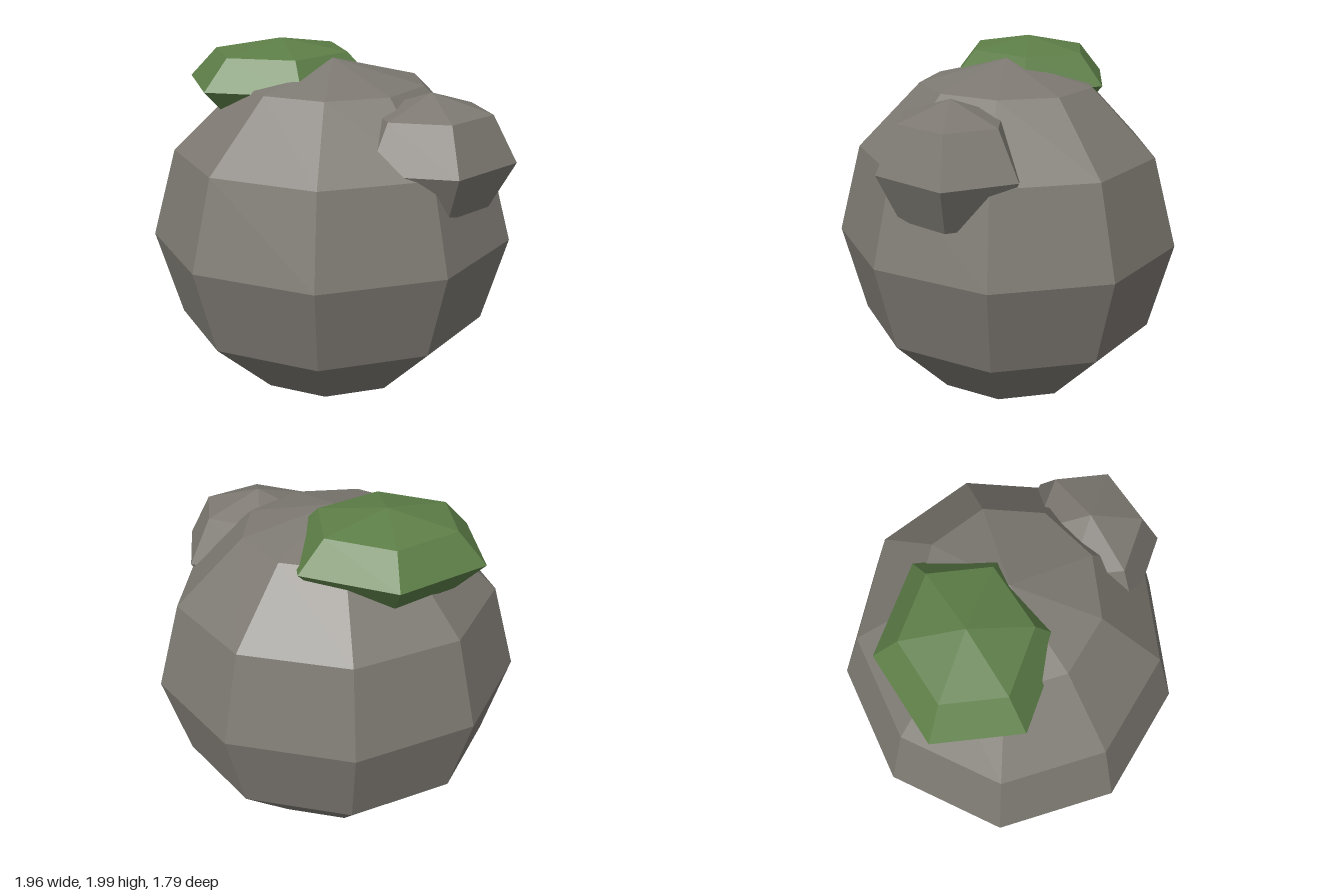
import * as THREE from 'three';

// Faceted ellipsoid with one column of vertices pointing straight back
function facetedBoulder(name, material, sides, rows, radii, center) {
  const sphere = new THREE.SphereGeometry(1, sides, rows);
  sphere.rotateY(-Math.PI / 2);
  sphere.scale(...radii);
  const geometry = sphere.toNonIndexed();
  geometry.computeVertexNormals(); // one normal per facet
  const mesh = new THREE.Mesh(geometry, material);
  mesh.name = name;
  mesh.position.set(...center);
  return mesh;
}

export function createModel() {
  const stone = new THREE.MeshStandardMaterial({ color: 0x7d7972 });
  stone.name = 'stone grey';
  const moss = new THREE.MeshStandardMaterial({ color: 0x5d7e47 });
  moss.name = 'moss green';

  const model = new THREE.Group();
  model.name = 'mossyBoulder';
  model.add(
    // Main rock
    facetedBoulder('boulder', stone, 9, 6, [0.997, 0.957, 0.923], [0, 0.963, 0.024]),
    // Small lump on the upper front
    facetedBoulder('rockLump', stone, 6, 4, [0.457, 0.345, 0.392], [0.385, 1.465, 0.481]),
    // Flattened moss cap
    facetedBoulder('mossPatch', moss, 6, 4, [0.538, 0.226, 0.459], [-0.231, 1.774, -0.206])
  );
  return model;
}
